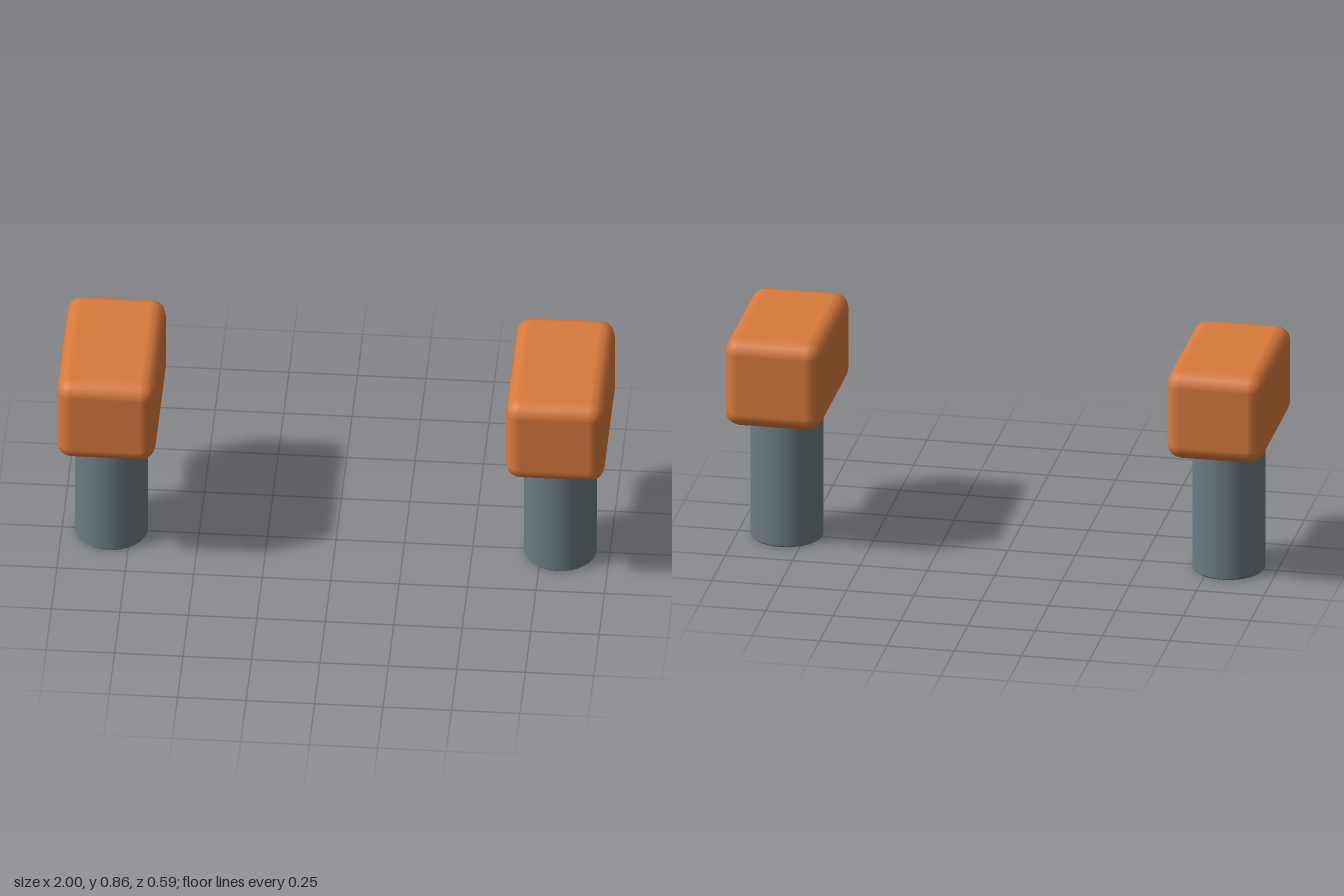
import * as THREE from 'three';
import { RoundedBoxGeometry } from 'three/addons/geometries/RoundedBoxGeometry.js';

export function createModel() {
  const group = new THREE.Group();
  const orange = new THREE.MeshStandardMaterial({ color: 0xd87a3c });
  orange.name = 'orange';
  const grey = new THREE.MeshStandardMaterial({ color: 0x6c7b82 });
  grey.name = 'slateGrey';

  const headGeometry = new RoundedBoxGeometry(0.36, 0.34, 0.59, 2, 0.055);

  // Post: straight cylinder with a tiny bevel at the foot, sunk into the head
  const r = 0.133;
  const sideGeometry = new THREE.CylinderGeometry(r, r, 0.525, 32, 1, true).translate(0, 0.2675, 0);
  const bevelGeometry = new THREE.CylinderGeometry(r, r - 0.005, 0.005, 32).translate(0, 0.0025, 0);

  // One post with its head on each side
  for (const [side, sign] of [['left', 1], ['right', -1]]) {
    const unit = new THREE.Group();
    unit.name = side + 'Unit';
    unit.position.x = sign * 0.82;

    const head = new THREE.Mesh(headGeometry, orange);
    head.name = side + 'Head';
    head.position.y = 0.687;

    const post = new THREE.Mesh(sideGeometry, grey);
    post.name = side + 'Post';
    const foot = new THREE.Mesh(bevelGeometry, grey);
    foot.name = side + 'PostFoot';

    unit.add(head, post, foot);
    group.add(unit);
  }
  return group;
}
